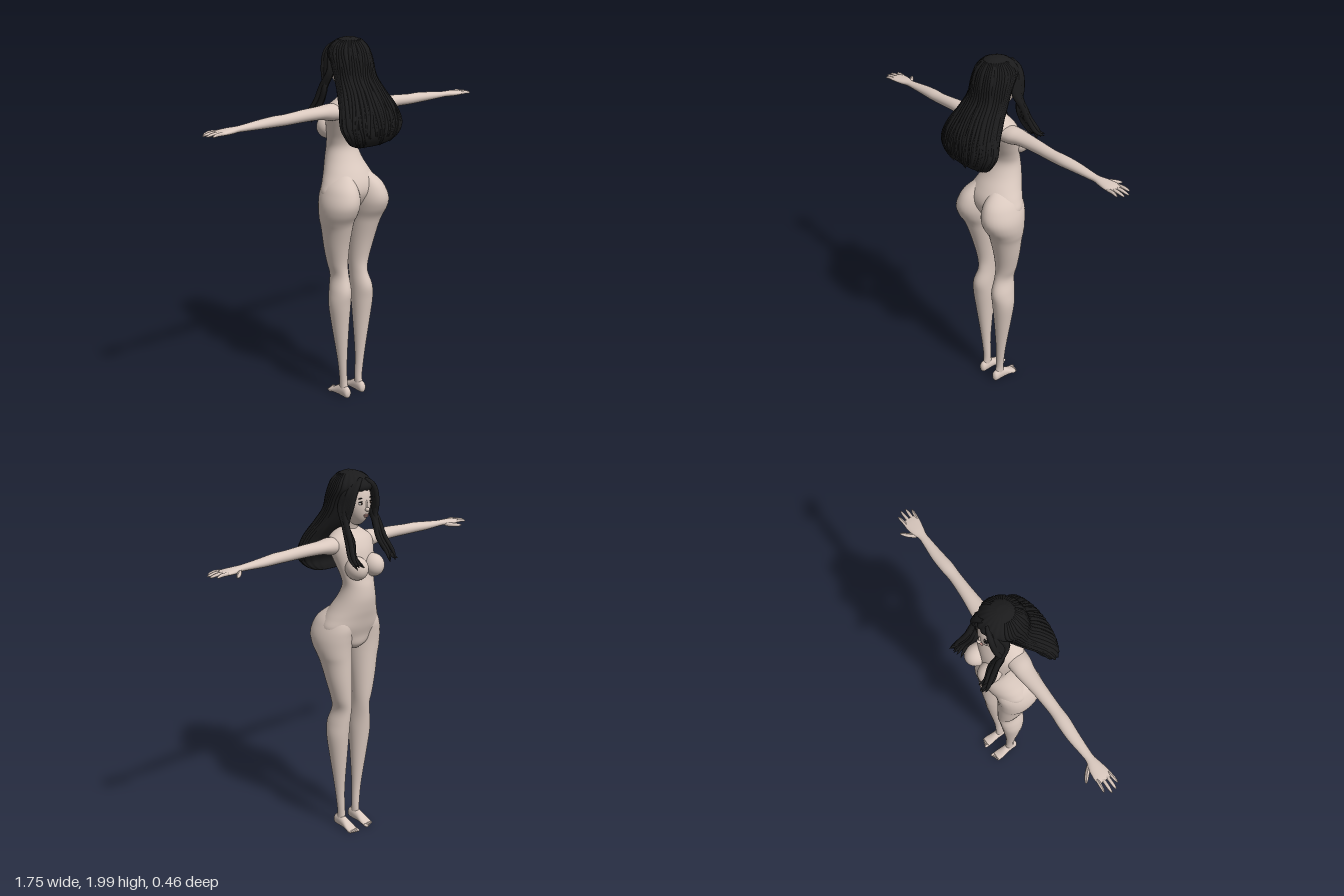
import * as THREE from 'three';

const mat = (name, color) => {
  const m = new THREE.MeshStandardMaterial({ color });
  m.name = name;
  return m;
};

let seed = 7;
const rand = () => (seed = (seed * 16807) % 2147483647) / 2147483647;

// Smoothly subdivides rows of section values
function smoothRows(rows, steps) {
  const out = [];
  for (let i = 0; i < rows.length - 1; i++) {
    const p = [rows[Math.max(i - 1, 0)], rows[i], rows[i + 1], rows[Math.min(i + 2, rows.length - 1)]];
    for (let s = 0; s < steps; s++) {
      const t = s / steps;
      out.push(p[1].map((_, k) => {
        const [a, b, c, d] = p.map(r => r[k]);
        return 0.5 * (2 * b + (c - a) * t + (2 * a - 5 * b + 4 * c - d) * t * t + (3 * b - a - 3 * c + d) * t * t * t);
      }));
    }
  }
  out.push(rows[rows.length - 1]);
  return out;
}

// Closed loft along an axis; each row is [t, centreA, centreB, radiusA, radiusB]
const FRAMES = {
  x: (t, a, b) => [t, b, a],
  y: (t, a, b) => [a, t, b],
  z: (t, a, b) => [b, a, t],
};
function loft(axis, rows, n = 32, ripple = () => 1) {
  const r = smoothRows([...rows].sort((p, q) => p[0] - q[0]), 5);
  const rings = [[...r[0].slice(0, 3), 0, 0], ...r, [...r[r.length - 1].slice(0, 3), 0, 0]];
  const pos = [], idx = [];
  rings.forEach(([t, ca, cb, ra, rb], i) => {
    for (let j = 0; j < n; j++) {
      const th = (j / n) * Math.PI * 2, k = ripple(th, t);
      pos.push(...FRAMES[axis](t, ca + ra * k * Math.cos(th), cb + rb * k * Math.sin(th)));
      if (i < rings.length - 1) {
        const a = i * n + j, b = i * n + (j + 1) % n, c = a + n, d = b + n;
        idx.push(a, c, b, b, c, d);
      }
    }
  });
  const g = new THREE.BufferGeometry();
  g.setAttribute('position', new THREE.Float32BufferAttribute(pos, 3));
  g.setIndex(idx);
  g.computeVertexNormals();
  return g;
}

// [y, centreX, halfWidth, frontZ, backZ] -> loft row
const body = ([y, cx, rx, f, b]) => [y, cx, (f + b) / 2, rx, (b - f) / 2];

// Tube through points, narrowing from full radius to a tip
function strand(points, radius, tip = 0.1, seg = 18, sides = 7) {
  const curve = new THREE.CatmullRomCurve3(points.map(p => new THREE.Vector3(...p)));
  const g = new THREE.TubeGeometry(curve, seg, radius, sides);
  const p = g.attributes.position, v = new THREE.Vector3();
  for (let i = 0; i <= seg; i++) {
    const u = i / seg, c = curve.getPointAt(u);
    const k = Math.max(tip, Math.sqrt(Math.max(0, 1 - u ** 4))) * Math.min(1, 0.5 + u * 5);
    for (let j = 0; j <= sides; j++) {
      const q = i * (sides + 1) + j;
      v.fromBufferAttribute(p, q).sub(c).multiplyScalar(k).add(c);
      p.setXYZ(q, v.x, v.y, v.z);
    }
  }
  g.computeVertexNormals();
  return g;
}

export function createModel() {
  const root = new THREE.Group();
  root.name = 'figure';
  const skin = mat('skin', 0xd9c8be), hair = mat('hair', 0x1b1b1c);
  const white = mat('eyeWhite', 0xe6e2de), dark = mat('iris', 0x3a2c26), lip = mat('lips', 0xb98f88);
  const add = (name, geo, m) => {
    const mesh = new THREE.Mesh(geo, m);
    mesh.name = name;
    root.add(mesh);
    return mesh;
  };
  const ball = (name, m, [x, y, z], [rx, ry, rz], rotZ = 0) => {
    const mesh = add(name, new THREE.SphereGeometry(1, 28, 20), m);
    mesh.position.set(x, y, z);
    mesh.scale.set(rx, ry, rz);
    mesh.rotation.z = rotZ;
    return mesh;
  };

  // Torso and neck
  add('torso', loft('y', [
    [1.07, 0, 0.03, -0.06, 0.03], [1.1, 0, 0.09, -0.088, 0.05], [1.15, 0, 0.15, -0.1, 0.085],
    [1.2, 0, 0.176, -0.117, 0.108], [1.25, 0, 0.156, -0.13, 0.104], [1.3, 0, 0.129, -0.143, 0.078],
    [1.36, 0, 0.103, -0.152, 0.036], [1.42, 0, 0.088, -0.148, 0.008], [1.47, 0, 0.094, -0.135, 0.012],
    [1.53, 0, 0.11, -0.125, 0.04], [1.6, 0, 0.128, -0.112, 0.074], [1.65, 0, 0.13, -0.088, 0.078],
    [1.685, 0, 0.09, -0.06, 0.07], [1.71, 0, 0.048, -0.042, 0.055],
  ].map(body), 48), skin);
  add('neck', loft('y', [
    [1.65, 0, 0.05, -0.05, 0.06], [1.7, 0, 0.042, -0.045, 0.045],
    [1.75, 0, 0.038, -0.06, 0.025], [1.81, 0, 0.04, -0.075, 0.02],
  ].map(body)), skin);

  // Head with a narrowed jaw
  const headGeo = new THREE.SphereGeometry(1, 40, 32), hp = headGeo.attributes.position;
  for (let i = 0; i < hp.count; i++) {
    const k = Math.max(0, -hp.getY(i));
    hp.setX(i, hp.getX(i) * (1 - 0.3 * k));
    hp.setZ(i, hp.getZ(i) - 0.16 * k);
  }
  headGeo.scale(0.079, 0.125, 0.093);
  headGeo.translate(0, 1.85, -0.036);
  headGeo.computeVertexNormals();
  add('head', headGeo, skin);
  ball('nose', skin, [0, 1.815, -0.131], [0.011, 0.011, 0.014]);
  ball('noseBridge', skin, [0, 1.836, -0.126], [0.007, 0.025, 0.01]);
  ball('upperLip', lip, [0, 1.787, -0.127], [0.018, 0.004, 0.006]);
  ball('lowerLip', lip, [0, 1.779, -0.125], [0.015, 0.005, 0.007]);

  for (const s of [1, -1]) {
    const side = s > 0 ? 'left' : 'right';

    // Face details
    ball(side + 'Eye', white, [s * 0.031, 1.846, -0.1185], [0.014, 0.007, 0.006]);
    ball(side + 'Iris', dark, [s * 0.031, 1.846, -0.1225], [0.006, 0.0065, 0.004]);
    ball(side + 'Lashes', hair, [s * 0.031, 1.853, -0.1205], [0.016, 0.0025, 0.005], -s * 0.08);
    ball(side + 'Brow', hair, [s * 0.032, 1.871, -0.119], [0.018, 0.003, 0.005], -s * 0.08);

    // Chest
    ball(side + 'Chest', skin, [s * 0.056, 1.522, -0.118], [0.056, 0.06, 0.064]);

    // Leg
    add(side + 'Leg', loft('y', [
      [1.31, 0.055, 0.035, -0.07, 0.045], [1.25, 0.082, 0.07, -0.095, 0.118], [1.2, 0.092, 0.088, -0.104, 0.148],
      [1.15, 0.099, 0.096, -0.1, 0.155], [1.1, 0.101, 0.095, -0.095, 0.138], [1.05, 0.099, 0.088, -0.092, 0.107],
      [1, 0.093, 0.079, -0.09, 0.088], [0.9, 0.085, 0.067, -0.088, 0.06], [0.8, 0.074, 0.053, -0.084, 0.042],
      [0.73, 0.066, 0.043, -0.078, 0.048], [0.65, 0.074, 0.053, -0.07, 0.073], [0.57, 0.079, 0.058, -0.062, 0.067],
      [0.45, 0.075, 0.048, -0.048, 0.053], [0.3, 0.067, 0.033, -0.03, 0.038], [0.2, 0.061, 0.025, -0.021, 0.03],
      [0.1, 0.054, 0.021, -0.02, 0.026], [0.05, 0.054, 0.02, -0.022, 0.035],
    ].map(([y, cx, ...r]) => body([y, s * cx, ...r]))), skin);

    // Foot and toes: [z, centreY, centreX, halfHeight, halfWidth]
    add(side + 'Foot', loft('z', [
      [0.053, 0.03, 0.054, 0.012, 0.008], [0.042, 0.032, 0.054, 0.03, 0.02], [0.01, 0.037, 0.054, 0.037, 0.023],
      [-0.03, 0.031, 0.055, 0.03, 0.025], [-0.07, 0.018, 0.056, 0.017, 0.03], [-0.098, 0.011, 0.056, 0.01, 0.03],
    ].map(([z, cy, cx, ry, rx]) => [z, cy, s * cx, ry, rx]), 24), skin);
    for (let i = 0; i < 5; i++)
      ball(side + 'Toe', skin, [s * (0.034 + i * 0.0115), 0.0095, -0.104 + i * 0.004],
        [i ? 0.006 : 0.009, 0.0085, 0.019]);

    // Arm and palm: [x, centreZ, centreY, halfDepth, halfHeight]
    add(side + 'Arm', loft('x', [
      [0.08, 0.002, 1.625, 0.055, 0.04], [0.14, 0, 1.628, 0.054, 0.043], [0.2, -0.004, 1.631, 0.045, 0.034],
      [0.3, -0.002, 1.631, 0.035, 0.031], [0.41, 0, 1.627, 0.03, 0.028], [0.48, -0.002, 1.627, 0.033, 0.027],
      [0.56, -0.006, 1.624, 0.03, 0.023], [0.65, -0.005, 1.621, 0.023, 0.017], [0.69, -0.005, 1.62, 0.022, 0.015],
      [0.73, -0.007, 1.618, 0.033, 0.016], [0.78, -0.006, 1.617, 0.041, 0.013], [0.81, -0.005, 1.617, 0.036, 0.008],
    ].map(([x, ...r]) => [s * x, ...r]), 28), skin);

    // Fingers and thumb
    [[-0.036, -0.044, 0.852], [-0.014, -0.016, 0.873], [0.008, 0.01, 0.869], [0.027, 0.034, 0.848]].forEach(([z0, z1, x]) =>
      add(side + 'Finger', strand([[s * 0.78, 1.617, z0], [s * 0.82, 1.619, (z0 + z1) / 2], [s * x, 1.612, z1]], 0.0088, 0.25, 12), skin));
    add(side + 'Thumb', strand([[s * 0.705, 1.614, -0.015], [s * 0.735, 1.609, -0.052], [s * 0.772, 1.607, -0.086]], 0.0115, 0.25, 12), skin);

    // Locks hanging beside the face and over the shoulder
    for (let i = 0; i < 9; i++) {
      const o = (rand() - 0.5) * 0.045, w = (rand() - 0.5) * 0.04, e = rand();
      add(side + 'FrontLock', strand([
        [s * 0.012, 1.965 - i * 0.002, -0.098 + i * 0.008], [s * (0.066 + o * 0.3), 1.915, -0.112 + i * 0.006],
        [s * (0.09 + o * 0.3), 1.83, -0.105 + i * 0.008], [s * (0.1 + o * 0.5), 1.74, -0.09 + w * 0.6],
        [s * (0.1 + o), 1.66, -0.125 + w * 0.8], [s * (0.118 + o), 1.59, -0.165 + w],
        [s * (0.1 + o * 1.4 + e * 0.03), 1.535 + e * 0.03, -0.185 - e * 0.035],
      ], 0.0155, 0.08, 26), hair);
    }
  }

  // Main hair mass sweeping down the back
  const mass = [
    [1.994, 0, 0.02, -0.03, 0.02], [1.98, 0, 0.06, -0.075, 0.05], [1.95, 0, 0.092, -0.112, 0.078],
    [1.915, 0, 0.107, -0.124, 0.097], [1.87, 0, 0.113, -0.085, 0.107], [1.8, 0, 0.118, -0.045, 0.12],
    [1.73, 0, 0.138, -0.005, 0.17], [1.65, 0, 0.176, 0.06, 0.218], [1.58, 0, 0.196, 0.095, 0.236],
    [1.525, 0, 0.175, 0.125, 0.232], [1.485, 0, 0.135, 0.125, 0.208], [1.465, 0, 0.09, 0.125, 0.18],
  ].map(body);
  add('backHair', loft('y', mass, 120, (th, y) => 1 + 0.018 * Math.cos(20 * th + 4 * Math.sin(y * 9))), hair);

  // Strands laid over the hair mass, loose at the ends
  for (let i = 0; i < 30; i++) {
    const th = -0.25 + (i / 29) * (Math.PI + 0.5), drift = (rand() - 0.5) * 0.14, drop = rand() * 0.04;
    const pts = mass.slice(1, 11).map(([y, , cz, rx, rz], k) => {
      const a = th + drift * Math.sin(k * 0.9);
      return [rx * 0.95 * Math.cos(a), y - (k === 9 ? drop - 0.02 : 0), cz + rz * 0.95 * Math.sin(a)];
    });
    add('hairStrand', strand(pts, 0.011, 0.08, 30), hair);
  }
  return root;
}
